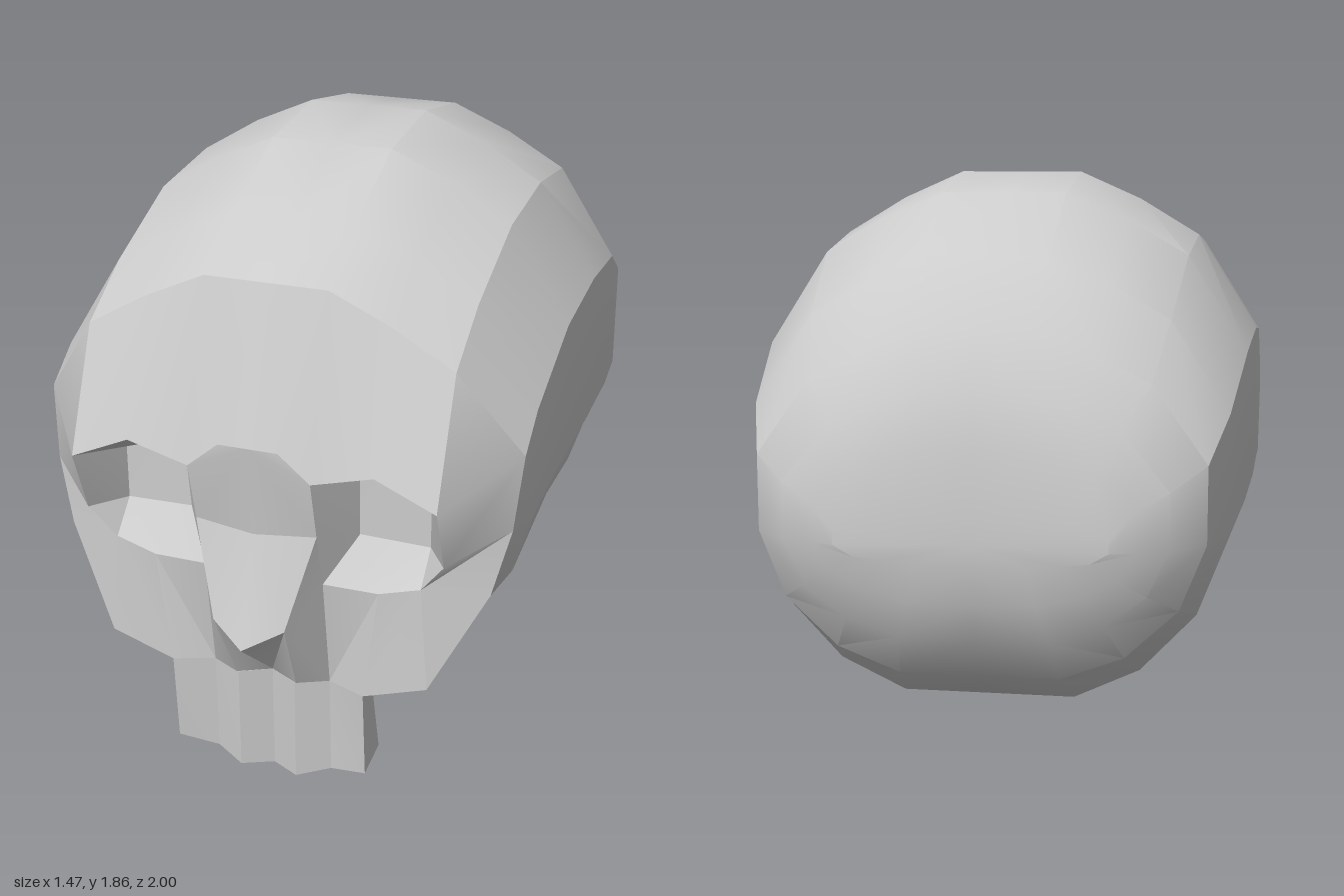
import * as THREE from 'three';
import { toCreasedNormals } from 'three/addons/utils/BufferGeometryUtils.js';

const material = new THREE.MeshStandardMaterial({ color: 0xcccccc });

// Fans each polygon into triangles; with mirror, adds the same polygons on -x.
function polyMesh(name, polys, mirror, crease) {
  const pos = [];
  const v = (p, s) => new THREE.Vector3(p[0] * s, p[1], p[2]);
  const tri = (a, b, c) => {
    const area = b.clone().sub(a).cross(c.clone().sub(a)).length();
    if (area > 1e-6) pos.push(...a, ...b, ...c);
  };
  for (const p of polys) {
    for (let i = 1; i < p.length - 1; i++) {
      tri(v(p[0], 1), v(p[i], 1), v(p[i + 1], 1));
      if (mirror) tri(v(p[0], -1), v(p[i + 1], -1), v(p[i], -1));
    }
  }
  const geo = new THREE.BufferGeometry();
  geo.setAttribute('position', new THREE.Float32BufferAttribute(pos, 3));
  const mesh = new THREE.Mesh(toCreasedNormals(geo, crease), material);
  mesh.name = name;
  return mesh;
}

// Rim of the face, top centre to bottom centre
const T0 = [0, 1.565, 0.76], T1 = [0.185, 1.565, 0.76], T2 = [0.37, 1.48, 0.76];
const T3 = [0.55, 1.375, 0.76], T4 = [0.73, 1.12, 0.68];
const S1 = [0.71, 0.9, 0.71], S2 = [0.66, 0.7, 0.74], S3 = [0.5, 0.4, 0.82];
const B1 = [0.305, 0.335, 0.82], B0 = [0, 0.335, 0.77];

function cranium() {
  const rim = [T0, T1, T2, T3, T4, S1, S2, S3, B1, B0];
  const rings = [rim, rim.map((p, i) => (i > 6 ? [p[0], p[1], 0.74] : p))];

  // z, crown y, shoulder y, temple y, half width, mid y, [low], [corner], [base]
  const slices = [
    [0.56, 1.68, 1.5, 1.21, 0.73, 0.89, [0.675, 0.69], [0.53, 0.49], [0.32, 0.455]],
    [0.24, 1.82, 1.63, 1.345, 0.733, 0.92, [0.69, 0.79], [0.585, 0.665], [0.35, 0.665]],
    [-0.08, 1.855, 1.665, 1.38, 0.733, 0.92, [0.68, 0.76], [0.56, 0.62], [0.33, 0.62]],
    [-0.4, 1.8, 1.62, 1.345, 0.72, 0.9, [0.63, 0.69], [0.45, 0.52], [0.29, 0.325]],
    [-0.69, 1.63, 1.46, 1.2, 0.685, 0.86, [0.6, 0.62], [0.44, 0.45], [0.25, 0.36]],
    [-0.85, 1.44, 1.3, 1.08, 0.635, 0.86, [0.56, 0.67], [0.41, 0.53], [0.23, 0.46]],
    [-0.94, 1.28, 1.18, 1.02, 0.54, 0.86, [0.48, 0.73], [0.36, 0.64], [0.21, 0.59]],
    [-0.98, 1.13, 1.07, 0.97, 0.45, 0.86, [0.4, 0.78], [0.3, 0.73], [0.18, 0.7]],
    [-1, 0.94, 0.93, 0.9, 0.38, 0.86, [0.33, 0.83], [0.25, 0.82], [0.15, 0.81]]
  ];
  for (const [z, crown, shoulder, temple, w, mid, low, corner, base] of slices) {
    const f = w / 0.73;
    rings.push([
      [0, crown, z], [0.185 * f, crown, z],
      [0.37 * f, shoulder + (crown - shoulder) * 0.57, z],
      [0.55 * f, shoulder, z], [w, temple, z], [w, mid, z],
      [...low, z], [...corner, z], [...base, z], [0, base[1], z]
    ]);
  }
  rings.push(rim.map(() => [0, 0.87, -1]));

  const polys = [];
  for (let r = 0; r < rings.length - 1; r++) {
    for (let i = 0; i < rim.length - 1; i++) {
      polys.push([rings[r][i], rings[r][i + 1], rings[r + 1][i + 1], rings[r + 1][i]]);
    }
  }
  return polyMesh('cranium', polys, true, 0.46);
}

function face() {
  // Brow edge, from the centre outwards
  const W0 = [0, 1.13, 0.915], W1 = [0.09, 1.13, 0.915], W2 = [0.185, 1.05, 0.915];
  const W3 = [0.37, 1.1, 0.915], W4 = [0.55, 1.02, 0.915];
  // Eye socket rim, outer side to inner side
  const O1 = [0.55, 0.82, 0.84], O2 = [0.475, 0.72, 0.81];
  const O3 = [0.35, 0.685, 0.815], O4 = [0.185, 0.69, 0.825];
  // Eye socket back wall
  const K1 = [0.475, 0.985, 0.72], K2 = [0.37, 1.01, 0.72], K3 = [0.265, 1.03, 0.73];
  const K4 = [0.265, 0.82, 0.73], K5 = [0.475, 0.81, 0.72];
  // Nose bridge, tip, wing and base
  const N0 = [0, 0.85, 0.885], N1 = [0.185, 0.865, 0.87];
  const P0 = [0, 0.53, 1], P1 = [0.11, 0.58, 0.94];
  const Q1 = [0.095, 0.335, 0.82], B2 = [0.185, 0.335, 0.775];

  const parts = { // polygons, crease angle
    forehead: [[[T0, W0, W1, T1], [T1, W1, W2], [T1, W2, W3, T2], [T2, W3, W4, T3]], 0.4],
    temple: [[[T3, W4, T4], [T4, W4, O1, S1], [S1, O1, O2, S2], [S2, O2, S3]], 0.9],
    cheek: [[[O2, O3, B1, S3], [O3, O4, B2, B1]], 0.4],
    eyeSocket: [[
      [K2, K3, K4, K5, K1],
      [W4, W3, K2, K1], [W3, W2, K3, K2],
      [W4, K1, K5, O1], [O1, K5, O2],
      [K5, O3, O2], [K5, K4, O4, O3],
      [W2, N1, K4, K3], [N1, O4, K4]
    ], 0.4],
    browBridge: [[[W0, N0, N1, W2, W1]], 0.4],
    nose: [[[N0, P0, P1, N1], [N1, P1, O4], [P1, Q1, B2, O4]], 0.75],
    noseUnderside: [[[P1, P0, B0, Q1]], 0.9]
  };
  const group = new THREE.Group();
  group.name = 'face';
  for (const [name, [polys, crease]] of Object.entries(parts)) {
    group.add(polyMesh(name, polys, true, crease));
  }
  return group;
}

// Pleated row of upper teeth
function teeth() {
  const half = [ // x, bottom y, front top z, front bottom z, back bottom y, back bottom z
    [0, 0, 0.77, 0.77, 0.02, 0.68], [0.09, 0.005, 0.82, 0.82, 0.01, 0.74],
    [0.185, 0.02, 0.775, 0.77, 0.03, 0.68], [0.305, 0.05, 0.82, 0.8, 0.07, 0.675]
  ];
  const row = [...half.slice(1).reverse().map(([x, ...r]) => [-x, ...r]), ...half];
  const cols = row.map(([x, y, zt, zb, backY, backZ]) => [
    [x, 0.335, zt], [x, y, zb], [x, backY, backZ], [x, 0.335, 0.74]
  ]);
  const polys = [[...cols[0]].reverse(), cols[cols.length - 1]];
  for (let i = 0; i < cols.length - 1; i++) {
    for (let j = 0; j < 4; j++) {
      const k = (j + 1) % 4;
      polys.push([cols[i][j], cols[i][k], cols[i + 1][k], cols[i + 1][j]]);
    }
  }
  return polyMesh('teeth', polys, false, 0.25);
}

export function createModel() {
  const group = new THREE.Group();
  group.name = 'skull';
  group.add(cranium(), face(), teeth());
  return group;
}
